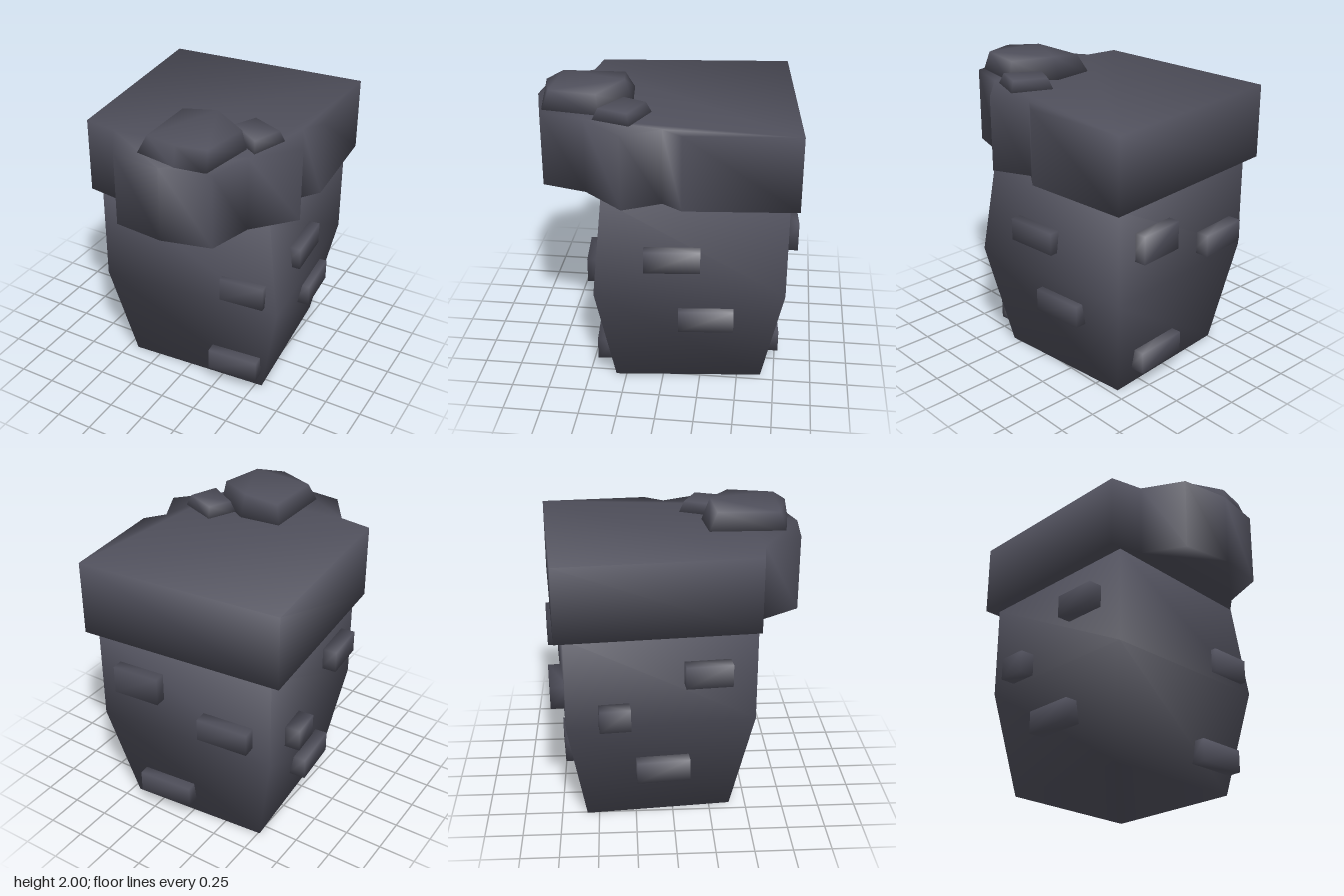
import * as THREE from 'three';
import { mergeVertices } from 'three/addons/utils/BufferGeometryUtils.js';

const stone = new THREE.MeshStandardMaterial({ color: 0x50505c });
stone.name = 'darkStone';

const TWIST = 0.087; // the whole tower is turned slightly about y

// Closed solid through loops of [x, y, z] points, with smooth shared normals.
// Loops run back left, back right, front right, front left.
function loft(name, loops) {
  const n = loops[0].length;
  const index = [];
  for (let k = 0; k < loops.length - 1; k++) {
    for (let i = 0; i < n; i++) {
      const j = (i + 1) % n;
      const a = k * n + i, b = k * n + j;
      index.push(a, a + n, b + n, a, b + n, b);
    }
  }
  const addEnd = (k, up) => {
    const flat = loops[k].map(([x, , z]) => new THREE.Vector2(x, -z));
    for (const [a, b, c] of THREE.ShapeUtils.triangulateShape(flat, [])) {
      const facesUp = THREE.ShapeUtils.area([flat[a], flat[b], flat[c]]) > 0;
      const tri = facesUp === up ? [a, b, c] : [a, c, b];
      index.push(...tri.map((v) => k * n + v));
    }
  };
  addEnd(0, false);
  addEnd(loops.length - 1, true);
  const geometry = new THREE.BufferGeometry();
  geometry.setAttribute('position', new THREE.Float32BufferAttribute(loops.flat(2), 3));
  geometry.setIndex(index);
  geometry.computeVertexNormals();
  const mesh = new THREE.Mesh(geometry, stone);
  mesh.name = name;
  return mesh;
}

const atHeight = (outline, y) => outline.map(([x, z]) => [x, y, z]);

// Block with softened shading
function brick(name, [w, h, d], [x, y, z]) {
  const box = new THREE.BoxGeometry(w, h, d);
  box.deleteAttribute('normal');
  box.deleteAttribute('uv');
  const geometry = mergeVertices(box);
  geometry.computeVertexNormals();
  const mesh = new THREE.Mesh(geometry, stone);
  mesh.name = name;
  mesh.position.set(x, y, z);
  mesh.rotation.y = TWIST;
  return mesh;
}

export function createModel() {
  const model = new THREE.Group();
  model.name = 'stoneTower';

  // Tapered shaft
  model.add(loft('shaft', [
    atHeight([[-0.51, -0.58], [0.45, -0.66], [0.545, 0.32], [-0.43, 0.39]], 0),
    atHeight([[-0.65, -0.69], [0.58, -0.80], [0.69, 0.43], [-0.54, 0.54]], 0.72),
    atHeight([[-0.65, -0.69], [0.58, -0.80], [0.60, 0.38], [-0.54, 0.54]], 1.36),
  ]));

  // Overhanging cap with a bulging front
  const cap = [
    [-0.73, -0.74], [0.64, -0.86], [0.70, -0.14], [0.61, -0.01], [0.73, 0.23], [0.50, 0.49],
    [0.42, 0.78], [0.10, 0.86], [-0.23, 0.83], [-0.40, 0.58], [-0.62, 0.55],
  ];
  model.add(loft('cap', [atHeight(cap, 1.36), atHeight(cap, 1.855)]));

  // Rocks lying on the cap
  model.add(loft('largeRock', [
    atHeight([[-0.115, 0.25], [0.17, 0.22], [0.44, 0.40], [0.38, 0.78], [0.18, 0.81], [-0.115, 0.76]], 1.84),
    [[-0.06, 1.97, 0.31], [0.17, 2.0, 0.28], [0.415, 1.985, 0.42],
      [0.36, 1.98, 0.73], [0.17, 1.985, 0.78], [-0.06, 1.965, 0.72]],
  ]));
  model.add(loft('smallRock', [
    atHeight([[0.33, 0.08], [0.595, 0.19], [0.51, 0.44], [0.24, 0.28]], 1.84),
    atHeight([[0.35, 0.12], [0.56, 0.21], [0.49, 0.40], [0.28, 0.27]], 1.925),
  ]));

  // Protruding bricks: [size], [centre]
  const bricks = {
    frontBrick: [
      [[0.30, 0.16, 0.12], [0.455, 0.85, 0.43]],
      [[0.35, 0.15, 0.12], [0.375, 0.205, 0.395]],
    ],
    leftSideBrick: [
      [[0.12, 0.15, 0.36], [0.615, 0.975, -0.07]],
      [[0.12, 0.15, 0.36], [0.595, 0.535, -0.29]],
    ],
    rightSideBrick: [
      [[0.11, 0.15, 0.30], [-0.61, 1.085, 0.22]],
      [[0.11, 0.15, 0.20], [-0.67, 0.815, -0.38]],
      [[0.12, 0.15, 0.35], [-0.575, 0.385, -0.07]],
    ],
    backBrick: [
      [[0.32, 0.19, 0.12], [0.27, 1.075, -0.79]],
      [[0.35, 0.15, 0.12], [-0.355, 0.895, -0.745]],
      [[0.38, 0.15, 0.12], [0.15, 0.205, -0.695]],
    ],
  };
  for (const [name, list] of Object.entries(bricks)) {
    list.forEach(([size, centre], i) => model.add(brick(name + (i + 1), size, centre)));
  }

  return model;
}
